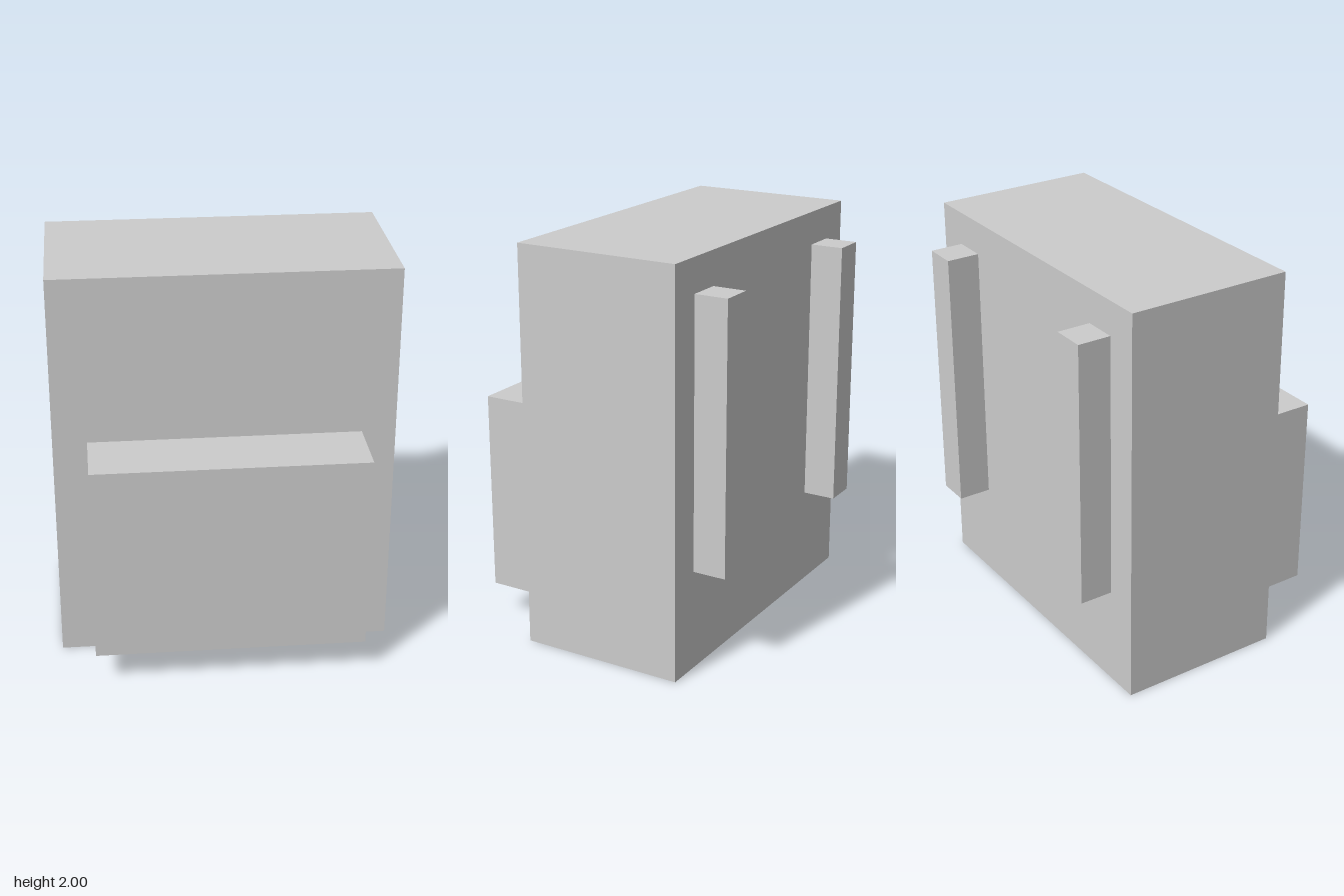
import * as THREE from 'three';

// All sizes are whole numbers of this unit (the body is 12 units tall)
const U = 1 / 6;

export function createModel() {
  const model = new THREE.Group();
  model.name = 'backpack';
  const material = new THREE.MeshStandardMaterial({ color: 0xcccccc, flatShading: true });

  // Box from its minimum and maximum corners, in units
  function addBox(name, min, max) {
    const size = max.map((v, i) => (v - min[i]) * U);
    const mesh = new THREE.Mesh(new THREE.BoxGeometry(...size), material);
    mesh.position.set(...max.map((v, i) => ((v + min[i]) / 2) * U));
    mesh.name = name;
    model.add(mesh);
  }

  // Main bag and front pocket
  addBox('body', [-5, 0, -3], [5, 12, 2]);
  addBox('frontPocket', [-4, 1, 2], [4, 7, 4]);

  // Shoulder straps on the back
  addBox('leftStrap', [3, 3, -4], [4, 11, -3]);
  addBox('rightStrap', [-4, 3, -4], [-3, 11, -3]);

  return model;
}
